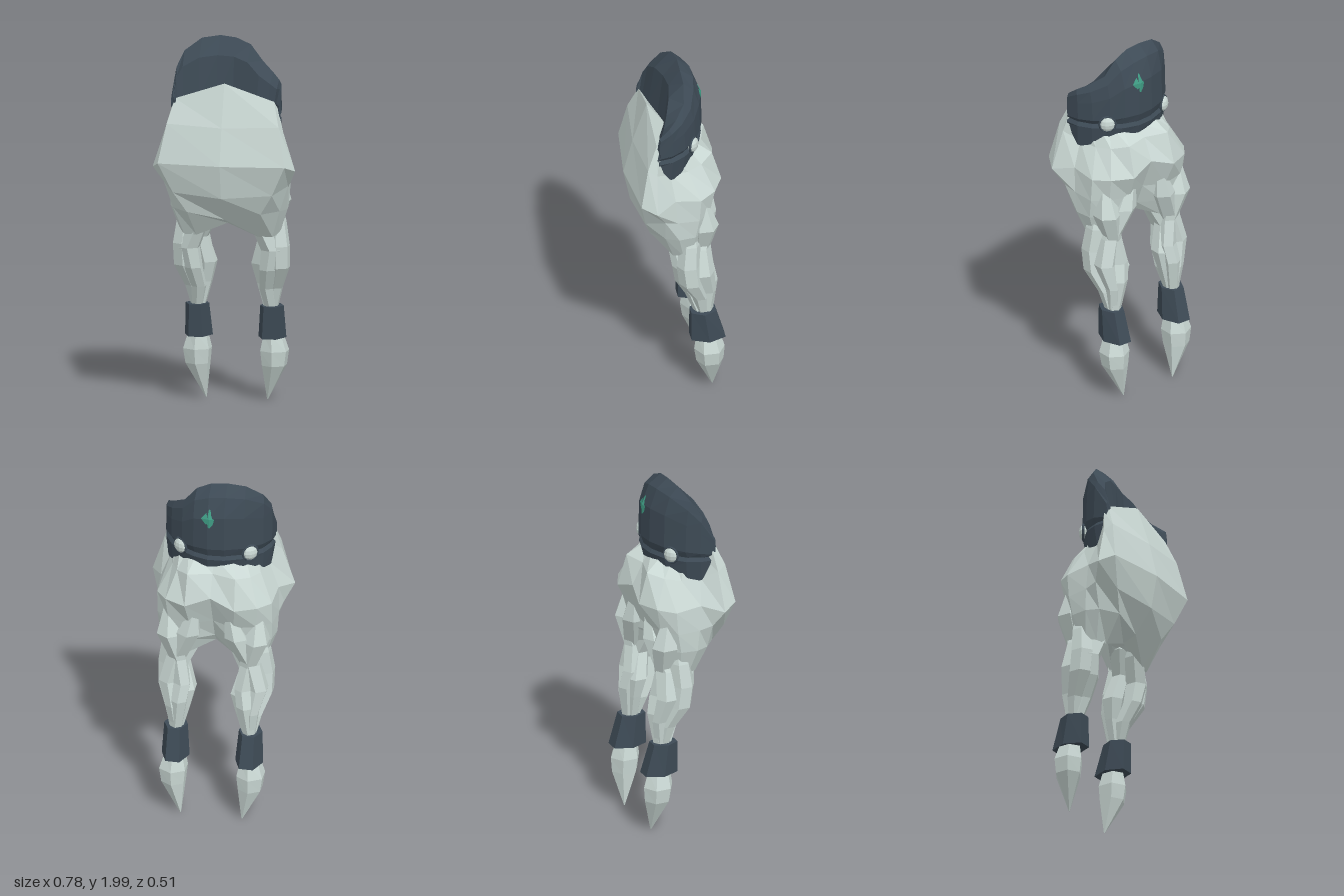
import * as THREE from 'three';

const mat = (name, color) =>
  Object.assign(new THREE.MeshStandardMaterial({ color, flatShading: true }), { name });

// Skin a list of equal-sized closed loops, with end caps
function loft(rings) {
  const n = rings[0].length, pos = [];
  const tri = (a, b, c) => pos.push(...a, ...b, ...c);
  for (let i = 0; i < rings.length - 1; i++) {
    for (let j = 0; j < n; j++) {
      const k = (j + 1) % n;
      const a = rings[i][j], b = rings[i][k], c = rings[i + 1][k], d = rings[i + 1][j];
      tri(a, d, c);
      tri(a, c, b);
    }
  }
  const centre = r => [0, 1, 2].map(q => r.reduce((s, p) => s + p[q], 0) / n);
  const first = rings[0], last = rings[rings.length - 1];
  const c0 = centre(first), c1 = centre(last);
  for (let j = 0; j < n; j++) {
    const k = (j + 1) % n;
    tri(c0, first[j], first[k]);
    tri(c1, last[k], last[j]);
  }
  const g = new THREE.BufferGeometry();
  g.setAttribute('position', new THREE.Float32BufferAttribute(pos, 3));
  g.computeVertexNormals();
  return g;
}

// Level oval ring, listed from the front round through +x
const oval = (x, y, z, rx, rz, turn = 0) => Array.from({ length: 6 }, (_, i) => {
  const a = (i / 6) * Math.PI * 2 + turn;
  return [x + Math.sin(a) * rx, y, z + Math.cos(a) * rz];
});

// Half ring from front centre to back centre, mirrored into a full loop
const mirrored = (...h) => [...h, ...h.slice(1, -1).reverse().map(([x, y, z]) => [-x, y, z])];

export function createModel() {
  const root = new THREE.Group();
  root.name = 'armouredLowerBody';
  const shell = mat('pale shell', 0xcad8d4);
  const dark = mat('dark slate', 0x3d4a55);
  const green = mat('green gem', 0x3f9c84);
  const add = (name, geo, m, parent = root) => {
    const mesh = new THREE.Mesh(geo, m);
    mesh.name = name;
    parent.add(mesh);
    return mesh;
  };

  // Body: belly plate in front, narrower flanks, hips behind
  const neck = mirrored([0, 1.77, .13], [.27, 1.68, .125], [.288, 1.64, .11], [.24, 1.61, .06], [.2, 1.6, 0], [.15, 1.58, -.05], [.1, 1.57, -.1], [0, 1.57, -.11]);
  const chest = mirrored([0, 1.54, .207], [.305, 1.55, .178], [.32, 1.52, .13], [.265, 1.48, .05], [.24, 1.47, -.05], [.2, 1.48, -.13], [.13, 1.5, -.2], [0, 1.5, -.165]);
  const girth = mirrored([0, 1.34, .256], [.345, 1.34, .22], [.388, 1.31, .14], [.32, 1.34, .03], [.312, 1.32, -.11], [.25, 1.33, -.195], [.135, 1.33, -.25], [0, 1.38, -.225]);
  const hips = mirrored([0, 1.16, .22], [.27, 1.18, .185], [.338, 1.22, .09], [.325, 1.2, .02], [.312, 1.19, -.1], [.24, 1.2, -.17], [.12, 1.19, -.19], [0, 1.2, -.15]);
  const seat = mirrored([0, 1.03, .12], [.2, 1.07, .15], [.29, 1.08, .08], [.318, 1.08, .01], [.305, 1.08, -.08], [.24, 1.08, -.15], [.12, 1.08, -.17], [0, 1.08, -.1]);
  const hem = mirrored([0, 1, .04], [.17, .93, .045], [.24, .93, .03], [.27, .94, -.02], [.265, .95, -.07], [.22, .96, -.12], [.13, .98, -.13], [0, 1.03, -.06]);
  const crotch = hem.map(([x, , z]) => [x * .3, 1.03, z * .5]);
  add('torsoAndBelly', loft([neck, chest, girth, hips, seat, hem, crotch]), shell);

  // Lopsided hood round the back: x, outer z, top y, top z, inner z, bottom y
  const stations = [
    [-.29, .125, 1.70, .13, .138, 1.56],
    [-.283, .04, 1.84, .06, .12, 1.47],
    [-.25, -.03, 1.92, .01, .11, 1.45],
    [-.16, -.115, 1.985, -.03, .095, 1.51],
    [-.06, -.155, 2.0, -.045, .06, 1.54],
    [.03, -.163, 1.99, -.045, .04, 1.53],
    [.11, -.14, 1.955, -.05, .06, 1.54],
    [.18, -.1, 1.87, -.04, .09, 1.51],
    [.25, -.035, 1.82, .015, .105, 1.45],
    [.293, .035, 1.79, .06, .115, 1.46],
    [.306, .11, 1.75, .112, .122, 1.56],
  ];
  const seamY = 1.6;
  const section = ([x, zo, yt, zt, zi, yb]) => {
    const h = yt - seamY;
    return [
      [x * .97, yt, zt],
      [x, seamY + h * .87, zo + (zt - zo) * .4],
      [x, seamY + h * .6, zo + .005],
      [x, seamY + h * .12, zo],
      [x * .965, seamY, zo + .016],
      [x, seamY - .02, zo + .004],
      [x * .97, yb, zo + .016],
      [x * .88, yb + .06, zi - .02],
      [x * .92, seamY + .07, zi],
      [x * .95, seamY + h * .76, zt + (zi - zt) * .72],
    ];
  };
  add('hood', loft(stations.map(section)), dark);

  // Diamond on the back of the hood
  const gem = add('diamondGem', new THREE.OctahedronGeometry(1), green);
  gem.scale.set(.046, .055, .012);
  gem.position.set(.02, 1.83, -.15);
  gem.rotation.x = .2;

  // Strands of each leg, swelling and crossing: x, y, z, radius from top to bottom
  const strands = {
    outerStrand: [[.23, 1.12, -.06, .03], [.245, 1, -.06, .055], [.258, .87, -.05, .062], [.255, .75, -.065, .062], [.225, .63, -.12, .042], [.205, .51, -.14, .03]],
    innerStrand: [[.11, 1.12, -.07, .03], [.13, 1.02, -.07, .06], [.18, .9, -.1, .048], [.15, .76, -.13, .06], [.16, .65, -.14, .04], [.19, .51, -.14, .03]],
    frontStrand: [[.14, 1.08, .03, .03], [.17, .98, -.005, .055], [.225, .85, -.03, .06], [.205, .74, -.04, .052], [.185, .63, -.09, .042], [.2, .51, -.125, .03]],
    backStrand: [[.09, 1.3, -.17, .02], [.13, 1.12, -.15, .07], [.2, .95, -.115, .062], [.24, .8, -.13, .06], [.215, .66, -.165, .04], [.2, .51, -.15, .035]],
    haunchStrand: [[.24, 1.3, -.12, .02], [.235, 1.1, -.14, .075], [.19, .94, -.13, .05], [.165, .8, -.15, .05], [.18, .7, -.17, .05], [.2, .51, -.155, .035]],
  };

  for (const s of [1, -1]) {
    const side = s > 0 ? 'left' : 'right';

    // Bead with a dark rim, set in the groove of the hood
    const bead = new THREE.Group();
    bead.name = side + 'Bead';
    bead.position.set(s * .19, 1.61, -.088);
    bead.rotation.y = Math.atan2(s * .55, -.83);
    const ball = add('beadStone', new THREE.SphereGeometry(.042, 10, 6), shell, bead);
    ball.scale.z = .6;
    add('beadRim', new THREE.TorusGeometry(.043, .007, 5, 12), dark, bead);
    root.add(bead);

    const leg = new THREE.Group();
    leg.name = side + 'Leg';
    root.add(leg);
    for (const [name, pts] of Object.entries(strands)) {
      add(name, loft(pts.map(([x, y, z, r]) => oval(s * x, y, z, r, r * 1.05))), shell, leg);
    }

    // Flared ankle cuff
    add('ankleCuff', loft([
      oval(s * .203, .53, -.138, .064, .078, Math.PI / 6),
      oval(s * .2, .355, -.163, .076, .107, Math.PI / 6),
    ]), dark, leg);

    // Pointed foot
    add('pointedFoot', loft([
      oval(s * .205, .37, -.165, .055, .062),
      oval(s * .21, .28, -.172, .081, .083),
      oval(s * .208, .2, -.175, .07, .074),
      oval(s * .167, .01, -.195, .003, .003),
    ]), shell, leg);
  }
  return root;
}
